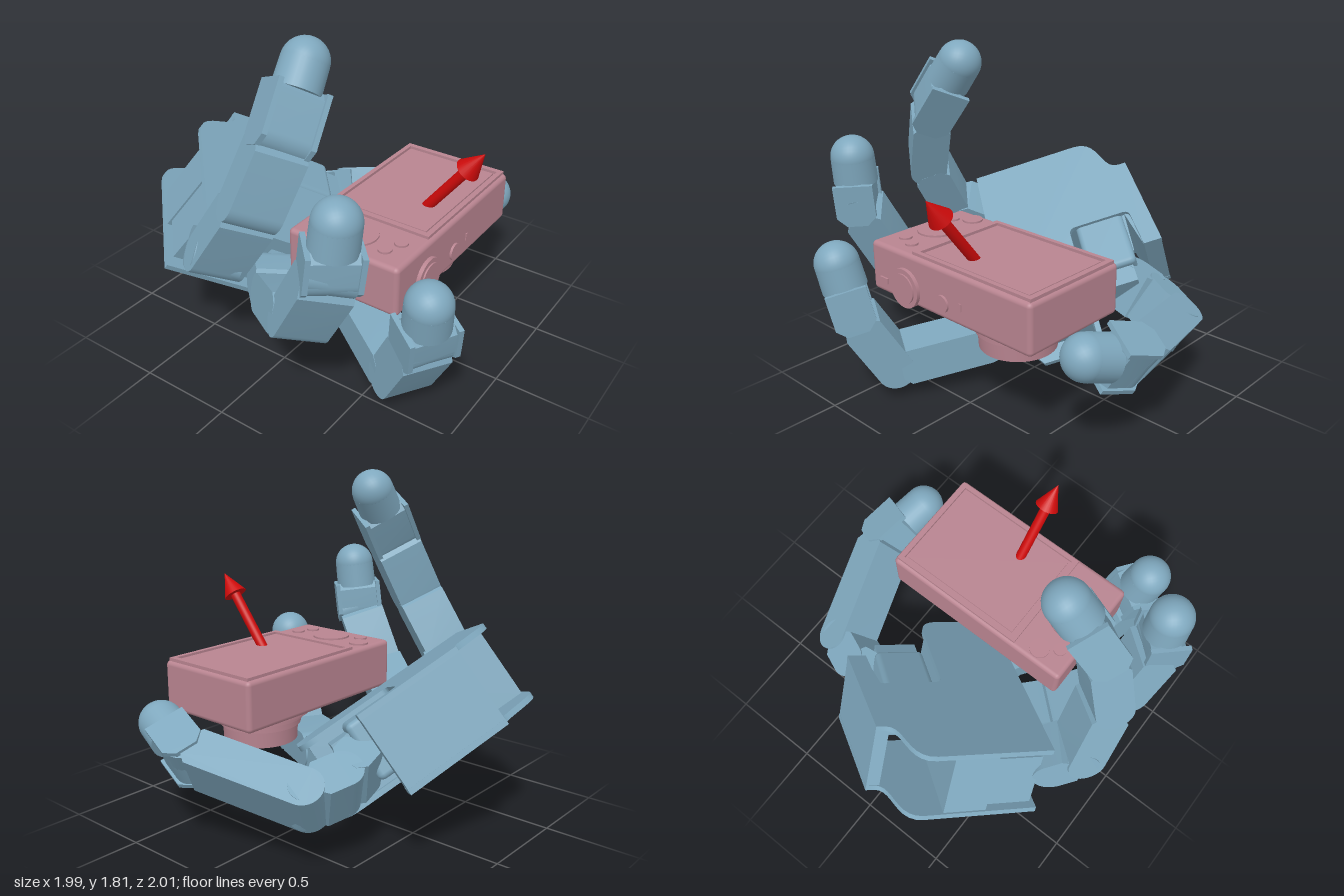
import * as THREE from 'three';
import { toCreasedNormals } from 'three/addons/utils/BufferGeometryUtils.js';
import { RoundedBoxGeometry } from 'three/addons/geometries/RoundedBoxGeometry.js';

const V = (x, y, z) => new THREE.Vector3(x, y, z);
const blue = new THREE.MeshStandardMaterial({ color: 0x7fa8be, side: THREE.DoubleSide });
const pink = new THREE.MeshStandardMaterial({ color: 0xb88490, side: THREE.DoubleSide });
const red = new THREE.MeshStandardMaterial({ color: 0xcc0a0a });

function add(parent, name, geo, mat, x = 0, y = 0, z = 0) {
  const m = new THREE.Mesh(geo, mat);
  m.name = name;
  m.position.set(x, y, z);
  parent.add(m);
  return m;
}

// Box given by its min and max corners
function block(parent, name, mat, a, b) {
  const s = b.map((v, i) => v - a[i]);
  return add(parent, name, new THREE.BoxGeometry(...s), mat, ...a.map((v, i) => v + s[i] / 2));
}

// Extrusion centred on z = 0
function slab(shape, depth) {
  const g = new THREE.ExtrudeGeometry(shape, { depth, bevelEnabled: false, curveSegments: 10 });
  return toCreasedNormals(g.translate(0, 0, -depth / 2), 0.5);
}

// Outline of a finger link: rounded at its lower joint, chamfered at the far end
function linkShape(len, h) {
  const s = new THREE.Shape(), r = h / 2, c = h * 0.2;
  s.absarc(0, 0, r, Math.PI / 2, Math.PI * 1.5, false);
  s.lineTo(len - c, -r);
  s.lineTo(len, -r + c);
  s.lineTo(len, r - c);
  s.lineTo(len - c, r);
  s.closePath();
  return s;
}

// Outline of a fork cheek: square with cut lower corners
function cheekShape(a, b, h) {
  const s = new THREE.Shape(), r = h / 2;
  s.moveTo(a + 0.05, -r);
  s.lineTo(b, -r);
  s.lineTo(b, r);
  s.lineTo(a + 0.05, r);
  s.lineTo(a, r - 0.05);
  s.lineTo(a, -r + 0.05);
  s.closePath();
  return s;
}

// Group at a joint: x runs along the link, z is the hinge axis
function jointFrame(parent, name, from, to, hinge) {
  const x = to.clone().sub(from).normalize();
  const z = hinge.clone().addScaledVector(x, -hinge.dot(x)).normalize();
  const g = new THREE.Group();
  g.name = name;
  g.quaternion.setFromRotationMatrix(new THREE.Matrix4().makeBasis(x, z.clone().cross(x), z));
  g.position.copy(from);
  parent.add(g);
  return g;
}

// Four jointed links and a domed tip, all turning about one hinge direction
function finger(parent, name, hinge, p) {
  const f = new THREE.Group();
  f.name = name;
  parent.add(f);
  const names = ['baseLink', 'lowerLink', 'middleLink', 'tipLink'];
  names.forEach((n, i) => {
    const g = jointFrame(f, n, p[i], p[i + 1], hinge);
    const len = p[i].distanceTo(p[i + 1]);
    if (i < 3) {
      add(g, 'linkBody', slab(linkShape(len - 0.03, 0.2), 0.26), blue);
      add(g, 'hingePin', new THREE.CylinderGeometry(0.09, 0.09, 0.24, 24).rotateX(Math.PI / 2), blue, len, 0, 0);
    } else {
      const end = len - 0.12;
      add(g, 'tipBlock', slab(linkShape(end, 0.18), 0.22), blue);
      for (const s of [-1, 1])
        add(g, 'cheek', slab(cheekShape(-0.08, end, 0.21), 0.025), blue, 0, 0, s * 0.122);
      add(g, 'tipSleeve', new THREE.CylinderGeometry(0.115, 0.118, 0.14, 32).rotateZ(-Math.PI / 2), blue, len - 0.07, 0, 0);
      add(g, 'fingertip', new THREE.SphereGeometry(0.115, 32, 20), blue, len, 0, 0);
    }
  });
}

// Palm in its own frame: x toward the fingers, y toward the thumb, z out of the palm
function palm(parent) {
  const L = V(-0.672, -0.309, 0.672).normalize();
  const W = V(0.715, -0.51, 0.46);
  W.addScaledVector(L, -W.dot(L)).normalize();
  const g = new THREE.Group();
  g.name = 'palm';
  g.quaternion.setFromRotationMatrix(new THREE.Matrix4().makeBasis(L, W, L.clone().cross(W)));
  g.position.set(0.03, 1.035, -0.74);
  parent.add(g);

  const s = new THREE.Shape();
  s.moveTo(0, 0);
  s.lineTo(0.04, 0);
  s.bezierCurveTo(0.15, 0, 0.1, -0.23, 0.26, -0.23);
  s.lineTo(0.87, -0.23);
  s.lineTo(0.87, 0.74);
  s.lineTo(0.78, 0.875);
  s.lineTo(0.52, 0.875);
  s.quadraticCurveTo(0.42, 0.875, 0.42, 0.77);
  s.lineTo(0.42, 0.37);
  s.quadraticCurveTo(0.42, 0.33, 0.38, 0.33);
  s.lineTo(0.11, 0.33);
  s.quadraticCurveTo(0.07, 0.33, 0.07, 0.37);
  s.lineTo(0.05, 0.57);
  s.lineTo(-0.05, 0.57);
  s.closePath();
  const plate = slab(s, 0.03);
  add(g, 'frontPlate', plate, blue, 0, 0, -0.015);
  add(g, 'backPlate', plate, blue, 0, 0, -0.425);

  // solid wrist end
  const wrist = new THREE.Shape();
  wrist.moveTo(0.001, 0.002);
  wrist.lineTo(0.07, 0.002);
  wrist.lineTo(0.1, 0.33);
  wrist.lineTo(0.05, 0.568);
  wrist.lineTo(-0.048, 0.568);
  wrist.closePath();
  add(g, 'wristBlock', slab(wrist, 0.4), blue, 0, 0, -0.22);

  // solid middle and the finger drives
  block(g, 'innerWall', blue, [0.36, -0.22, -0.42], [0.59, 0.32, -0.02]);
  block(g, 'lowerWall', blue, [0.45, 0.3, -0.42], [0.59, 0.83, -0.02]);
  for (const w of [-0.08, 0.29, 0.66]) {
    block(g, 'fingerMotor', blue, [0.57, w - 0.13, -0.38], [0.83, w + 0.13, -0.06]);
    block(g, 'fingerMount', blue, [0.8, w - 0.07, -0.3], [0.92, w + 0.07, -0.12]);
  }
  // thumb drive sitting in the notch
  add(g, 'thumbMotor', new RoundedBoxGeometry(0.27, 0.36, 0.32, 2, 0.03), blue, 0.25, 0.46, -0.18);
  block(g, 'thumbMount', blue, [0.14, 0.6, -0.3], [0.37, 0.74, -0.06]);
}

function camera(parent) {
  const g = new THREE.Group();
  g.name = 'camera';
  parent.add(g);
  add(g, 'body', new RoundedBoxGeometry(1.12, 0.27, 0.63, 3, 0.025), pink, 0.05, 0.695, 0.375);

  // screen with a raised frame
  const rect = (S, x, z) => {
    const r = new S();
    r.moveTo(-x, -z).lineTo(x, -z).lineTo(x, z).lineTo(-x, z).closePath();
    return r;
  };
  const frame = rect(THREE.Shape, 0.4, 0.295);
  frame.holes.push(rect(THREE.Path, 0.37, 0.27));
  add(g, 'screenFrame', slab(frame, 0.03).rotateX(-Math.PI / 2), pink, 0.195, 0.83, 0.375);
  block(g, 'screen', pink, [-0.16, 0.81, 0.12], [0.55, 0.838, 0.63]);

  // buttons on the top
  for (const [x, z, r] of [[-0.36, 0.37, 0.105], [-0.4, 0.55, 0.035], [-0.31, 0.585, 0.035], [-0.33, 0.14, 0.055], [-0.42, 0.2, 0.035]])
    add(g, 'button', new THREE.CylinderGeometry(r, r, 0.03, 32), pink, x, 0.825, z);
  // dials and slots on the edge
  for (const [x, r, d] of [[-0.24, 0.105, 0.02], [-0.24, 0.08, 0.028], [0.03, 0.045, 0.012]])
    add(g, 'dial', new THREE.CylinderGeometry(r, r, d * 2, 32).rotateX(Math.PI / 2), pink, x, 0.645, 0.69);
  block(g, 'slot', pink, [0.15, 0.645, 0.68], [0.165, 0.685, 0.695]);
  block(g, 'latch', pink, [-0.44, 0.62, 0.68], [-0.38, 0.65, 0.7]);

  // stepped lens barrel
  const pts = [[0, 0.4], [0.14, 0.4], [0.15, 0.38], [0.2, 0.38], [0.205, 0.47], [0.22, 0.47], [0.22, 0.51],
    [0.24, 0.51], [0.24, 0.535], [0.275, 0.54], [0.275, 0.575]].map(p => new THREE.Vector2(...p));
  add(g, 'lens', toCreasedNormals(new THREE.LatheGeometry(pts, 48), 0.5), pink, 0.23, 0, 0.37);
  for (const s of [-1, 1])
    block(g, 'lensShutter', pink, [0.15, 0.385, 0.37 + s * 0.065 - 0.025], [0.31, 0.41, 0.37 + s * 0.065 + 0.025]);
}

function arrow(parent) {
  const g = new THREE.Group();
  g.name = 'arrow';
  g.position.set(0.07, 0.79, 0.475);
  g.quaternion.setFromUnitVectors(V(0, 1, 0), V(0, 0.42, 0.325).normalize());
  add(g, 'shaft', new THREE.CylinderGeometry(0.028, 0.028, 0.4, 24), red, 0, 0.2, 0);
  add(g, 'head', new THREE.ConeGeometry(0.065, 0.14, 24), red, 0, 0.46, 0);
  parent.add(g);
}

export function createModel() {
  const root = new THREE.Group();
  root.name = 'robotHandWithCamera';
  const hand = new THREE.Group();
  hand.name = 'hand';
  root.add(hand);
  palm(hand);
  finger(hand, 'upperFinger', V(-0.72, 0.43, -0.55),
    [V(-0.7, 0.68, -0.26), V(-0.8, 0.75, -0.14), V(-0.77, 1.08, 0.07), V(-0.63, 1.4, 0.145), V(-0.42, 1.68, 0.12)]);
  finger(hand, 'middleFinger', V(-0.7, 0.2, -0.7),
    [V(-0.43, 0.46, -0.1), V(-0.56, 0.46, 0.04), V(-0.78, 0.58, 0.34), V(-0.81, 0.92, 0.53), V(-0.8, 1.19, 0.56)]);
  finger(hand, 'lowerFinger', V(-0.85, 0, -0.53),
    [V(-0.06, 0.25, 0.06), V(-0.15, 0.23, 0.25), V(-0.41, 0.16, 0.67), V(-0.5, 0.48, 0.84), V(-0.55, 0.75, 0.88)]);
  finger(hand, 'thumb', V(-0.5, -0.8, 0.3),
    [V(0.33, 0.46, -0.42), V(0.49, 0.4, -0.43), V(0.66, 0.36, -0.36), V(0.85, 0.48, 0.25), V(0.785, 0.57, 0.52)]);
  camera(root);
  arrow(root);
  return root;
}
